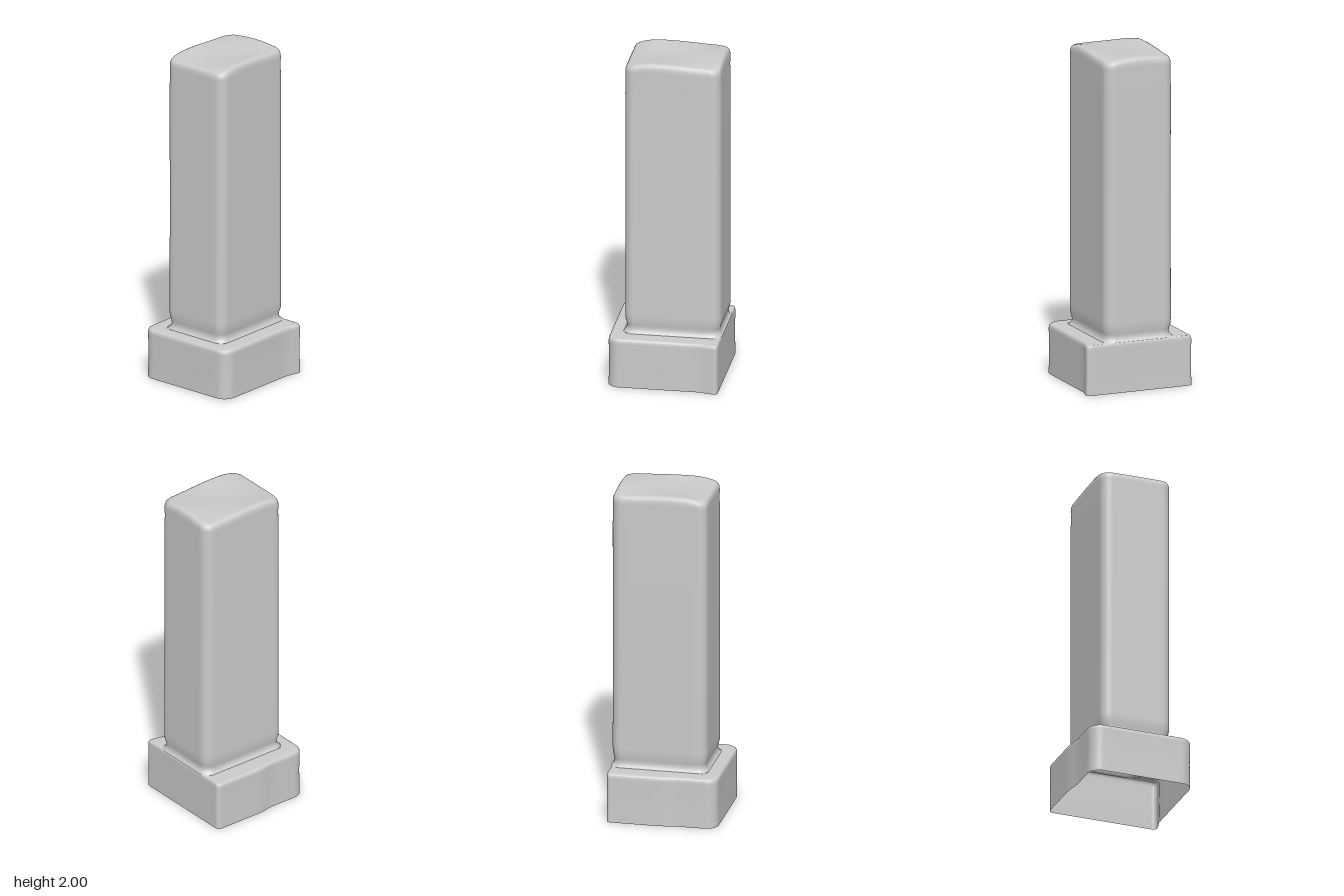
import * as THREE from 'three';

const CORNER = 8, SIDE = 14;

// Rounded rectangle loop with separate front and back corner radii
function section(x0, x1, z0, z1, rf, rb) {
  const corners = [
    [x1 - rf, z1 - rf, rf, 0], [x0 + rf, z1 - rf, rf, 1],
    [x0 + rb, z0 + rb, rb, 2], [x1 - rb, z0 + rb, rb, 3],
  ];
  const arcs = corners.map(([cx, cz, r, q]) => Array.from({ length: CORNER + 1 }, (_, i) => {
    const a = (q + i / CORNER) * Math.PI / 2;
    return new THREE.Vector2(cx + r * Math.cos(a), cz + r * Math.sin(a));
  }));
  const loop = [];
  arcs.forEach((arc, k) => {
    loop.push(...arc);
    const next = arcs[(k + 1) % 4][0];
    for (let i = 1; i < SIDE; i++) loop.push(arc[CORNER].clone().lerp(next, i / SIDE));
  });
  return loop;
}

// Skin a stack of equal-length loops of Vector3
function loft(rings) {
  const n = rings[0].length, index = [];
  for (let j = 0; j < rings.length - 1; j++) {
    for (let i = 0; i < n; i++) {
      const a = j * n + i, b = j * n + (i + 1) % n;
      index.push(a, a + n, b, b, a + n, b + n);
    }
  }
  const g = new THREE.BufferGeometry().setFromPoints(rings.flat());
  g.setIndex(index);
  g.computeVertexNormals();
  return g;
}

const step = THREE.MathUtils.smoothstep;

// Uneven side walls of the plinth: slightly wider towards the back
function plinthPoint(p, y) {
  const wide = p.x > 0 ? 0.02 * (1 - step(p.y, -0.31, -0.21)) : -0.015 * (1 - step(p.y, -0.02, 0.09));
  return new THREE.Vector3(p.x + wide * Math.min(1, Math.abs(p.x) / 0.3), y, p.y);
}

// Gentle undulation of the shaft's top
function topWave(x, z) {
  return 0.009 * Math.cos(x * 12) * Math.cos((z + 0.3) * 9) - 0.012 * step(z, 0.1, 0.24);
}

export function createModel() {
  const group = new THREE.Group();
  const material = new THREE.MeshStandardMaterial({ color: 0xcccccc, side: THREE.DoubleSide });
  const add = (name, geometry) => {
    const mesh = new THREE.Mesh(geometry, material);
    mesh.name = name;
    group.add(mesh);
  };

  // Hollow plinth, open underneath: wall, rounded rim, ledge up to the shaft
  const wall = [[0, 0], [0.02, 0], [0.15, 0.002], [0.27, 0], [0.285, 0.001], [0.294, 0.005], [0.299, 0.012], [0.3, 0.02]];
  const plinth = wall.map(([y, inset]) =>
    section(-0.32 + inset, 0.316 - inset, -0.328 + inset * 0.4, 0.326 - inset, 0.07, 0.025)
      .map((p) => plinthPoint(p, y)));
  const foot = section(-0.225, 0.22, -0.318, 0.25, 0.05, 0.05);
  plinth.push(foot.map((p) => new THREE.Vector3(p.x, 0.302, p.y)));
  add('plinth', loft(plinth));

  // Hollow shaft: flared foot, slight neck, straight body and rounded shoulder
  const body = [
    [0.302, -0.007], [0.312, 0.004], [0.33, 0.01], [0.35, 0.008], [0.38, 0.001], [0.42, 0],
    [1.1, 0.001], [1.8, 0], [1.88, 0.002], [1.94, 0.001], [1.96, 0.002], [1.974, 0.006],
    [1.983, 0.012], [1.988, 0.022], [1.99, 0.035],
  ];
  const shaft = body.map(([y, inset]) =>
    section(-0.218 + inset, 0.213 - inset, -0.325 + inset, 0.243 - inset, 0.055, 0.06)
      .map((p) => new THREE.Vector3(p.x, y + topWave(p.x, p.y) * step(y, 1.85, 1.99), p.y)));

  // Top surface: shrinking loops closing at the middle
  const rim = shaft[shaft.length - 1];
  for (const s of [0.85, 0.7, 0.55, 0.4, 0.25, 0.1, 0.001]) {
    shaft.push(rim.map((p) => {
      const x = p.x * s, z = -0.041 + (p.z + 0.041) * s;
      return new THREE.Vector3(x, 1.99 + topWave(x, z), z);
    }));
  }
  add('shaft', loft(shaft));

  return group;
}
